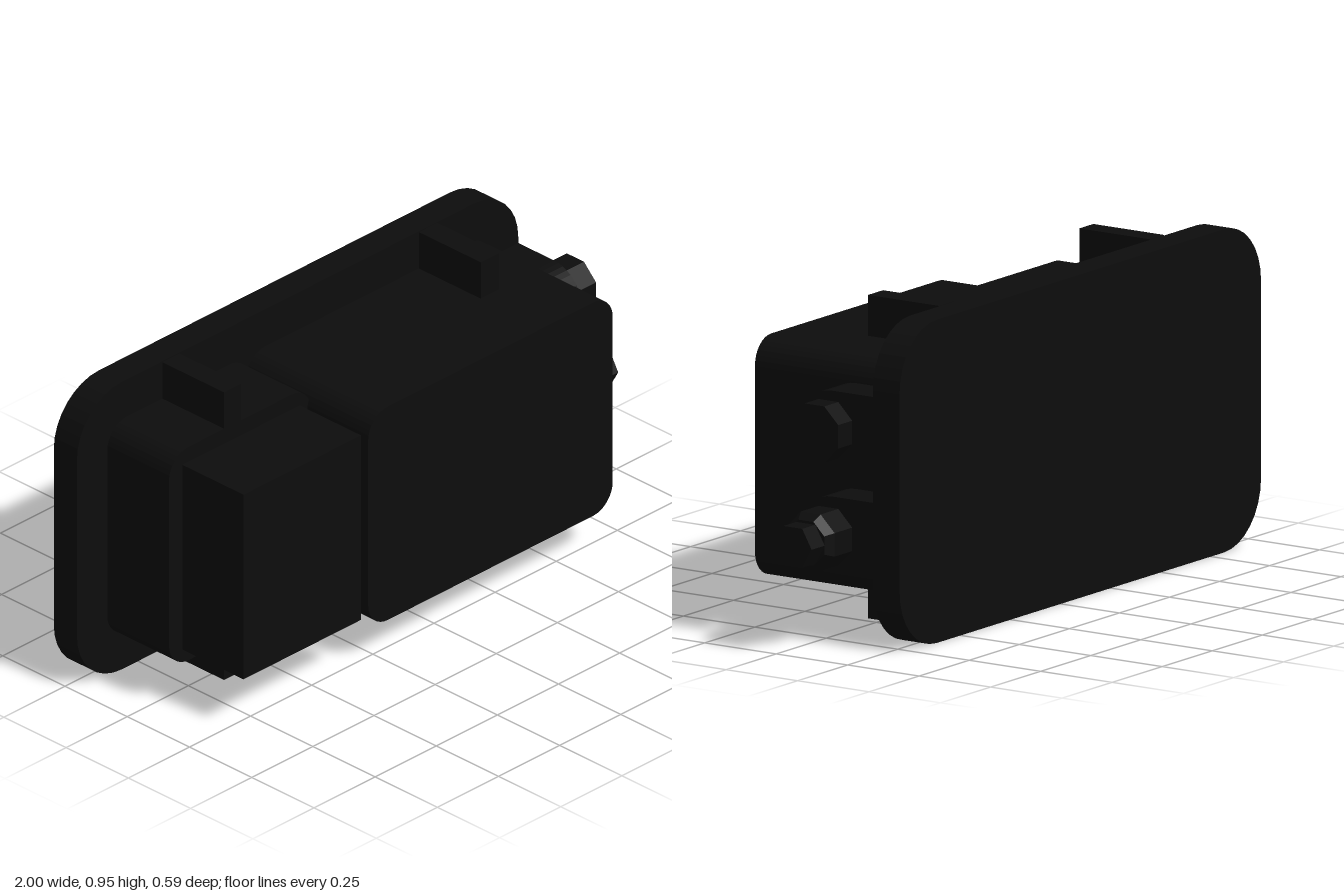
import * as THREE from 'three';

const black = new THREE.MeshStandardMaterial({ color: 0x0d0d0d, flatShading: true });
black.name = 'matte black';

// Rounded rectangle in the front plane, extruded from z0 to z1
function slab(x0, x1, y0, y1, z0, z1, r) {
  const s = new THREE.Shape();
  s.moveTo(x0 + r, y0);
  s.absarc(x1 - r, y0 + r, r, -Math.PI / 2, 0);
  s.absarc(x1 - r, y1 - r, r, 0, Math.PI / 2);
  s.absarc(x0 + r, y1 - r, r, Math.PI / 2, Math.PI);
  s.absarc(x0 + r, y0 + r, r, Math.PI, Math.PI * 1.5);
  s.closePath();
  const g = new THREE.ExtrudeGeometry(s, { depth: z1 - z0, bevelEnabled: false, curveSegments: 4 });
  return g.translate(0, 0, z0);
}

function box(x0, x1, y0, y1, z0, z1) {
  return new THREE.BoxGeometry(x1 - x0, y1 - y0, z1 - z0)
    .translate((x0 + x1) / 2, (y0 + y1) / 2, (z0 + z1) / 2);
}

// Prism or cone section lying along x
function rod(x0, x1, r0, r1, y, z, sides, turn = 0) {
  return new THREE.CylinderGeometry(r1, r0, x1 - x0, sides, 1, false, turn)
    .rotateZ(-Math.PI / 2).translate((x0 + x1) / 2, y, z);
}

// Half-round boss that runs back to the mounting plate
function boss(y, z) {
  const r = 0.112, s = new THREE.Shape();
  s.moveTo(0.205, -r);
  s.lineTo(0.205 + z, r);
  s.curves.length = 0;
  s.moveTo(-0.202, y - r);
  s.lineTo(z, y - r);
  s.absarc(z, y, r, -Math.PI / 2, Math.PI / 2);
  s.lineTo(-0.202, y + r);
  s.closePath();
  // shape x becomes world z, extrusion runs along -x
  return new THREE.ExtrudeGeometry(s, { depth: 0.125, bevelEnabled: false, curveSegments: 10 })
    .rotateY(-Math.PI / 2).translate(0.805, 0, 0);
}

export function createModel() {
  const model = new THREE.Group();
  const add = (name, geometry) => {
    const m = new THREE.Mesh(geometry, black);
    m.name = name;
    model.add(m);
  };

  // Mounting plate, with a hairline gap to the housing
  add('mountingPlate', slab(-1, 0.805, 0, 0.95, -0.295, -0.202, 0.185));

  // Housing
  add('baseHousing', slab(-0.88, -0.3, 0.125, 0.83, -0.198, 0.05, 0.08));
  add('mainHousing', slab(-0.315, 0.685, 0.125, 0.83, -0.198, 0.295, 0.08));
  add('sideModule', box(-0.825, -0.345, 0.17, 0.78, 0.04, 0.295));

  // Mounting lugs above and below
  for (const [x0, x1] of [[-0.655, -0.585], [0.395, 0.47]]) {
    add('topLug', box(x0, x1, 0.8, 0.95, -0.198, 0.05));
    add('bottomLug', box(x0, x1, 0, 0.15, -0.198, 0.05));
  }

  // Side connectors
  const z = -0.058, eighth = Math.PI / 8;
  for (const [name, y] of [['upper', 0.633], ['lower', 0.322]]) {
    add(name + 'Boss', boss(y, z));
    add(name + 'Neck', rod(0.8, 0.83, 0.07, 0.07, y, z, 12));
  }
  add('upperNut', rod(0.822, 0.892, 0.09, 0.09, 0.636, z, 8, eighth));
  add('lowerNut', rod(0.822, 0.91, 0.09, 0.09, 0.322, z, 8, eighth));
  add('lowerNutTaper', rod(0.91, 0.935, 0.09, 0.07, 0.322, z, 8, eighth));
  add('lowerTip', rod(0.93, 1, 0.066, 0.066, 0.322, z, 6));

  return model;
}
